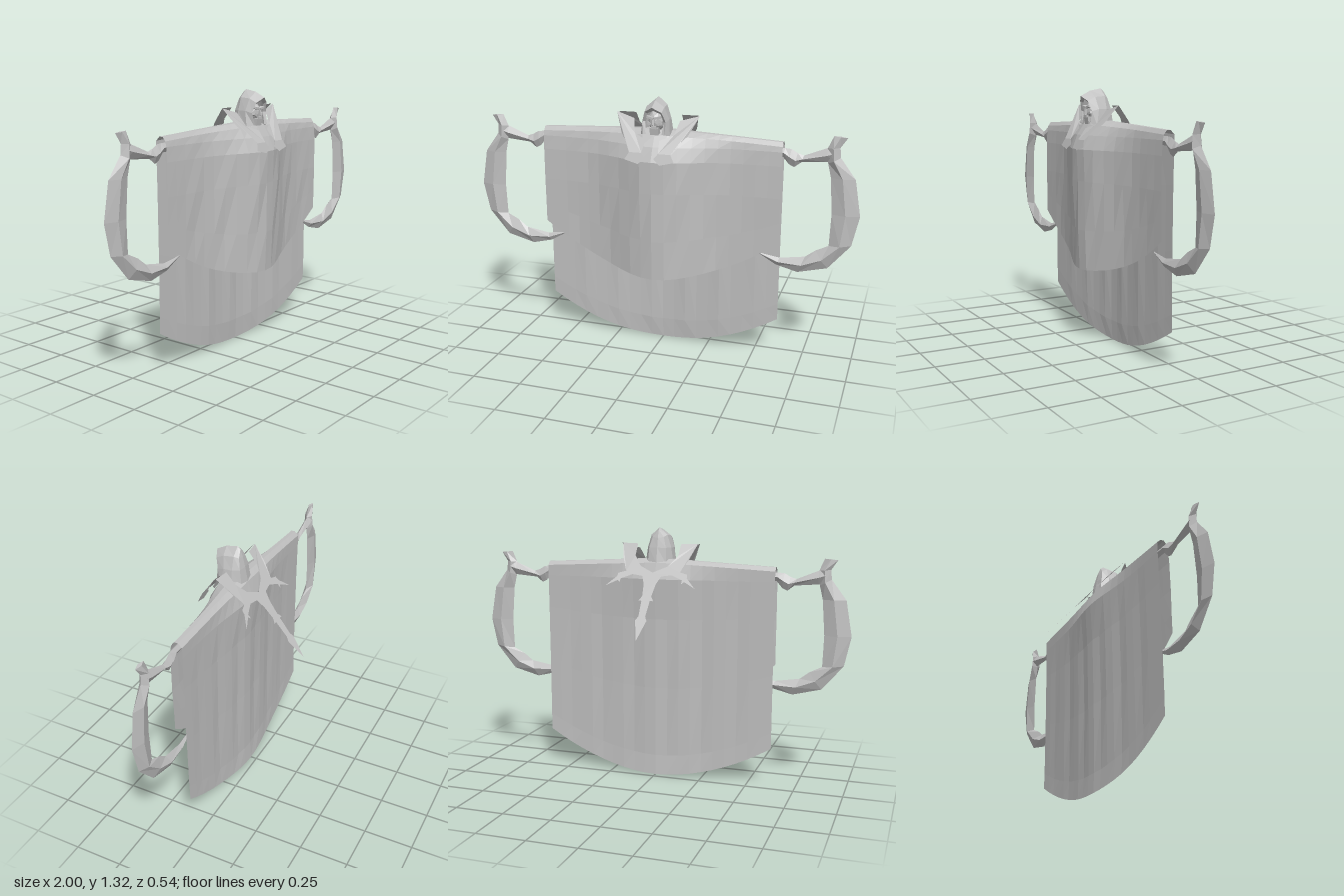
import * as THREE from 'three';

const stone = new THREE.MeshStandardMaterial({ color: 0xc0c0c0, flatShading: true, side: THREE.DoubleSide });
stone.name = 'plain grey';

function part(name, geometry, parent) {
  const mesh = new THREE.Mesh(geometry, stone);
  mesh.name = name;
  parent.add(mesh);
  return mesh;
}

// Surface through rows of points; closed rows join end to start
function loft(rows, closed = false) {
  const n = rows[0].length, index = [];
  for (let r = 0; r < rows.length - 1; r++) {
    for (let c = 0; c < (closed ? n : n - 1); c++) {
      const a = r * n + c, b = r * n + (c + 1) % n;
      index.push(a, b, a + n, b, b + n, a + n);
    }
  }
  const g = new THREE.BufferGeometry();
  g.setAttribute('position', new THREE.Float32BufferAttribute(rows.flat(2), 3));
  g.setIndex(index);
  g.computeVertexNormals();
  return g;
}

// Diamond-section bar: each entry is [outer x, outer y, inner x, inner y, half thickness]
function blade(sections, z) {
  const ring = ([ox, oy, ix, iy, t]) => {
    const mx = (ox + ix) / 2, my = (oy + iy) / 2;
    return [[ox, oy, z], [mx, my, z + t], [ix, iy, z], [mx, my, z - t]];
  };
  const collapse = ([ox, oy, ix, iy]) => {
    const mx = (ox + ix) / 2, my = (oy + iy) / 2;
    return [mx, my, mx, my, 0];
  };
  const all = [collapse(sections[0]), ...sections, collapse(sections.at(-1))];
  return loft(all.map(ring), true);
}

// Flat outline bent into place by a rule
function plate(outline, place) {
  const g = new THREE.ShapeGeometry(new THREE.Shape(outline.map(([x, y]) => new THREE.Vector2(x, y))));
  const p = g.attributes.position;
  for (let i = 0; i < p.count; i++) p.setXYZ(i, ...place(p.getX(i), p.getY(i)));
  g.computeVertexNormals();
  return g;
}

function piecewise(table, v) {
  for (let i = 0; i < table.length - 1; i++) {
    const [a, za] = table[i], [b, zb] = table[i + 1];
    if (v <= b) return za + (zb - za) * Math.max(0, (v - a) / (b - a));
  }
  return table.at(-1)[1];
}

// Draped cloth, bulging at the middle, open at both sides
function cloak() {
  const cols = [];
  for (let i = 0; i <= 20; i++) {
    const x = -0.62 + 0.062 * i, u = Math.abs(x) / 0.62;
    const g = Math.exp(-((x / 0.24) ** 2));
    const fold = 0.005 * Math.cos(i * 2.1) * (1 - u * u);
    const top = 1.135 + 0.03 * (1 - u);
    const backEnd = 0.005 + 0.195 * u * u, frontEnd = 0.405 + 0.225 * u * u;
    const mix = (a, b, t) => a + (b - a) * t;
    cols.push([
      [x, backEnd, 0.058 - 0.025 * g],
      [x, mix(backEnd, 1.06, 0.1), 0.06 - 0.02 * g + fold * 0.5],
      [x, mix(backEnd, 1.06, 0.45), 0.06 - 0.02 * g + fold],
      [x, mix(backEnd, 1.06, 0.8), 0.058 - 0.025 * g + fold * 0.7],
      [x, 1.06, 0.055 - 0.037 * g],
      [x, top - 0.02, 0.055 - 0.01 * g],
      [x, top, 0.075],
      [x, top, 0.095 + 0.02 * g],
      [x, top - 0.02, 0.11 + 0.06 * g],
      [x, 1.09, 0.116 + 0.09 * g + fold * 0.5],
      [x, 1.02, 0.12 + 0.118 * g],
      [x, 0.86, 0.122 + 0.113 * g + fold],
      [x, mix(0.86, frontEnd, 0.55), 0.12 + 0.11 * g - fold],
      [x, frontEnd, 0.12 + 0.105 * g],
    ]);
  }
  return loft(cols);
}

// Arch rib of the hood from half points [x, y, z], last one at the crown
const arch = half => [...half, ...half.slice(0, -1).reverse().map(([x, y, z]) => [-x, y, z])];

function head() {
  const group = new THREE.Group();
  group.name = 'head';
  part('hood', loft([
    [[0.04, 1.15, 0.185], [0.046, 1.21, 0.17], [0.034, 1.25, 0.18], [0, 1.268, 0.195]],
    [[0.056, 1.15, 0.19], [0.06, 1.21, 0.18], [0.043, 1.26, 0.195], [0, 1.285, 0.213]],
    [[0.075, 1.14, 0.16], [0.067, 1.22, 0.145], [0.046, 1.28, 0.155], [0, 1.312, 0.16]],
    [[0.076, 1.14, 0.1], [0.064, 1.22, 0.1], [0.043, 1.285, 0.1], [0, 1.323, 0.1]],
    [[0.05, 1.14, 0.055], [0.045, 1.22, 0.066], [0.03, 1.275, 0.078], [0, 1.31, 0.085]],
    [[0, 1.14, 0.045], [0, 1.22, 0.06], [0, 1.27, 0.072], [0, 1.31, 0.085]],
  ].map(arch)), group);

  const skull = part('skull', new THREE.IcosahedronGeometry(1, 1), group);
  skull.scale.set(0.042, 0.052, 0.05);
  skull.position.set(0, 1.21, 0.135);
  const box = (name, w, h, d, x, y, z, rx = 0, rz = 0) => {
    const m = part(name, new THREE.BoxGeometry(w, h, d), group);
    m.position.set(x, y, z);
    m.rotation.set(rx, 0, rz);
  };
  box('nose', 0.012, 0.028, 0.014, 0, 1.207, 0.186, -0.25);
  box('jaw', 0.042, 0.035, 0.035, 0, 1.165, 0.165, 0.15);
  box('teeth', 0.026, 0.014, 0.012, 0, 1.184, 0.183);
  for (const s of [1, -1]) {
    box('brow', 0.034, 0.01, 0.02, s * 0.019, 1.231, 0.178, 0, s * 0.25);
    box('cheekbone', 0.02, 0.012, 0.02, s * 0.026, 1.2, 0.17, 0, s * 0.4);
  }
  return group;
}

function handle() {
  const group = new THREE.Group();
  group.name = 'sideHandle';
  part('curvedBlade', blade([
    [0.92, 1.176, 0.856, 1.182, 0.01], [0.888, 1.128, 0.83, 1.123, 0.022],
    [0.893, 1.08, 0.835, 1.05, 0.025], [0.968, 0.98, 0.852, 0.98, 0.02],
    [1.0, 0.8, 0.866, 0.8, 0.02], [0.968, 0.65, 0.861, 0.64, 0.022],
    [0.861, 0.524, 0.8, 0.61, 0.022], [0.716, 0.487, 0.75, 0.572, 0.022],
    [0.61, 0.513, 0.625, 0.552, 0.014], [0.52, 0.564, 0.522, 0.568, 0.002],
  ], 0.098), group);
  part('shoulderBar', blade([
    [0.87, 1.14, 0.86, 1.06, 0.02], [0.83, 1.123, 0.83, 1.055, 0.02],
    [0.72, 1.078, 0.71, 1.045, 0.014], [0.69, 1.088, 0.675, 1.018, 0.018],
    [0.66, 1.105, 0.65, 1.03, 0.018], [0.63, 1.108, 0.62, 1.065, 0.014],
    [0.5, 1.11, 0.5, 1.07, 0.012],
  ], 0.095), group);
  return group;
}

export function createModel() {
  const model = new THREE.Group();
  model.name = 'hoodedBanner';
  part('cloak', cloak(), model);
  model.add(head());

  // Matching handles left and right
  const left = handle(), right = handle();
  right.scale.x = -1;
  model.add(left, right);

  // Sloping spiked collar behind the neck, outlined in x and z
  const outer = [
    [0.118, 0.1], [0.205, 0.11], [0.178, 0.04], [0.145, -0.01], [0.185, -0.018], [0.188, -0.032],
    [0.24, -0.07], [0.178, -0.046], [0.165, -0.055], [0.165, -0.04], [0.105, -0.022], [0.05, -0.028],
    [0.032, -0.06], [0.024, -0.105], [0.04, -0.122], [0.022, -0.122], [0.018, -0.18], [0.03, -0.195],
  ];
  const inner = [[0, -0.014], [0.075, 0.012], [0.116, 0.053]];
  const flip = pts => pts.map(([x, z]) => [-x, z]).reverse();
  part('spikedCollar', plate(
    [...inner, ...outer, [0, -0.268], ...flip(outer), ...flip(inner.slice(1))],
    (x, z) => [x, Math.min(1.115 + 1.23 * z, 1.24), z]), model);

  // Horned claws falling over the chest, outlined in x and y
  const claw = [
    [0.214, 1.24], [0.118, 1.214], [0.1, 1.15], [0.035, 1.125], [0.042, 1.07],
    [0.022, 1.045], [0.055, 1.018], [0.125, 1.035], [0.105, 1.07], [0.14, 1.12], [0.17, 1.15],
  ];
  const depth = [[1.018, 0.268], [1.07, 0.25], [1.125, 0.205], [1.15, 0.175], [1.24, 0.115]];
  for (const s of [1, -1]) {
    part('chestClaw', plate(claw, (x, y) => [s * x, y, piecewise(depth, y)]), model);
  }
  return model;
}
